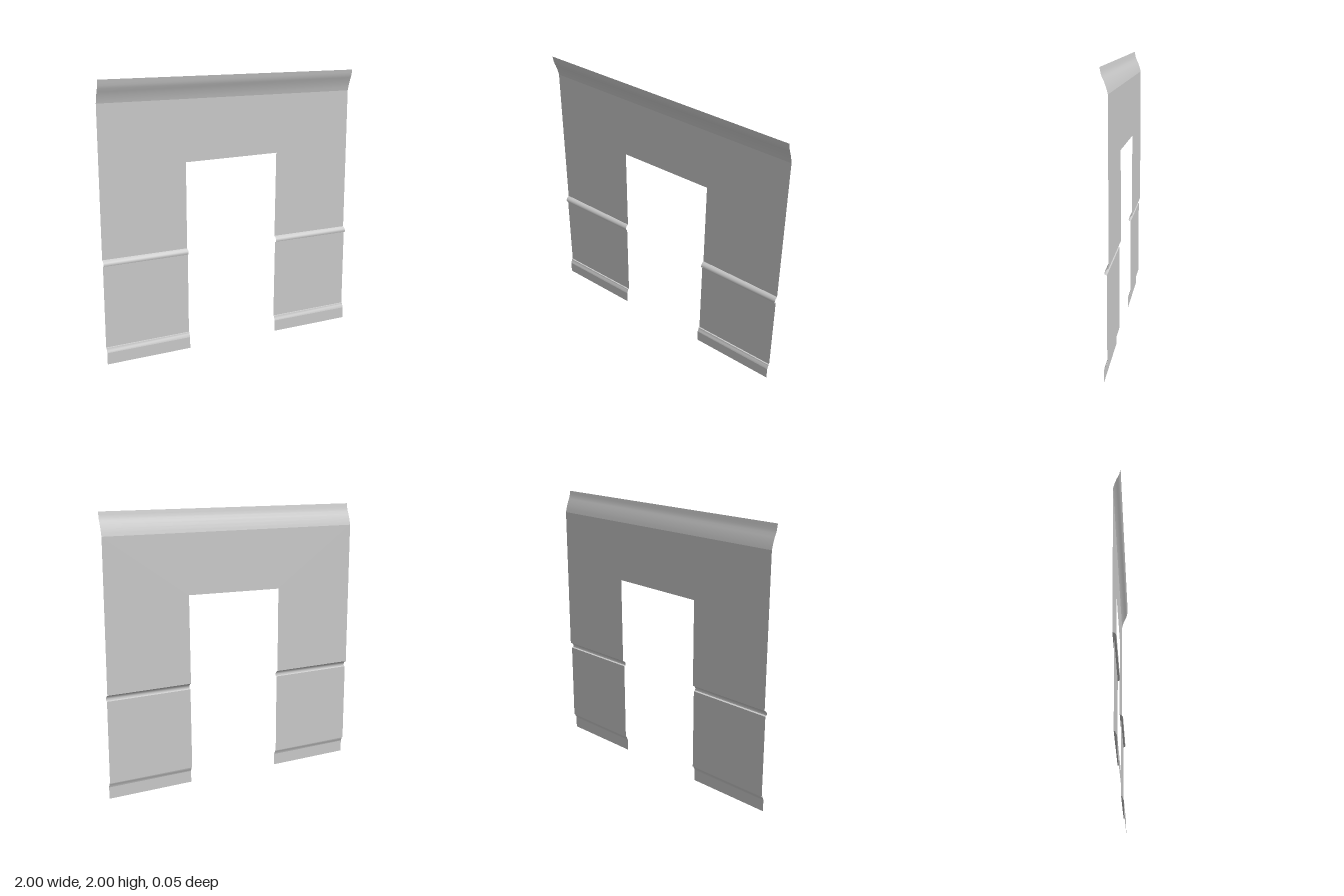
import * as THREE from 'three';

const material = new THREE.MeshStandardMaterial({ color: 0xcccccc, side: THREE.DoubleSide });

// depth of the plain wall surfaces
const UPPER_Z = -0.028, LOWER_Z = -0.017;

// right jamb leans slightly outward as it rises
const jambRight = (y) => 0.36 + 0.015 * Math.min(y / 1.4, 1);
const jambLeft = () => -0.36;

// open sheet: a [z, y] profile (bottom to top) swept between two x limits
function sheet(name, profile, xMin, xMax) {
  const pos = [], idx = [];
  profile.forEach(([z, y], i) => {
    pos.push(xMin(y), y, z, xMax(y), y, z);
    if (i > 0) {
      const a = 2 * (i - 1);
      idx.push(a, a + 1, a + 3, a, a + 3, a + 2);
    }
  });
  const geo = new THREE.BufferGeometry();
  geo.setAttribute('position', new THREE.Float32BufferAttribute(pos, 3));
  geo.setIndex(idx);
  geo.computeVertexNormals();
  const mesh = new THREE.Mesh(geo, material);
  mesh.name = name;
  return mesh;
}

// sections of each pier, separated at their sharp edges
const pierSections = {
  baseboardFace: [[0.004, 0], [0.004, 0.085]],
  baseboardBevel: [[0.004, 0.085], [0.001, 0.097], [-0.006, 0.108], [-0.008, 0.119]],
  baseboardLedge: [[-0.008, 0.119], [LOWER_Z, 0.121]],
  lowerWall: [[LOWER_Z, 0.121], [LOWER_Z, 0.718]],
  railUnderside: [[LOWER_Z, 0.718], [-0.004, 0.722]],
  railFace: [[-0.004, 0.722], [-0.001, 0.733], [-0.005, 0.745], [-0.014, 0.756], [UPPER_Z, 0.763]],
};

export function createModel() {
  const model = new THREE.Group();
  model.name = 'doorwayWall';

  // piers either side of the opening
  const sides = [
    ['rightPier', () => -1, jambLeft],
    ['leftPier', jambRight, () => 1],
  ];
  for (const [name, xMin, xMax] of sides) {
    const pier = new THREE.Group();
    pier.name = name;
    for (const [part, profile] of Object.entries(pierSections)) {
      pier.add(sheet(part, profile, xMin, xMax));
    }
    model.add(pier);
  }

  // plain wall above the rail, wrapping over the doorway
  const bottom = 0.763, top = 1.84;
  const outline = new THREE.Shape([
    [-1, bottom], [jambLeft(), bottom], [jambLeft(), 1.395],
    [jambRight(1.405), 1.405], [jambRight(bottom), bottom],
    [1, bottom], [1, top], [-1, top],
  ].map(([x, y]) => new THREE.Vector2(x, y)));
  const wall = new THREE.Mesh(new THREE.ShapeGeometry(outline), material);
  wall.name = 'upperWall';
  wall.position.z = UPPER_Z;
  model.add(wall);

  // cornice flaring forward to the top edge
  const cornice = [
    [UPPER_Z, 1.84], [-0.022, 1.865], [-0.014, 1.89], [-0.004, 1.917],
    [0.007, 1.94], [0.014, 1.96], [0.018, 1.98], [0.022, 2],
  ];
  model.add(sheet('cornice', cornice, () => -1, () => 1));

  return model;
}
